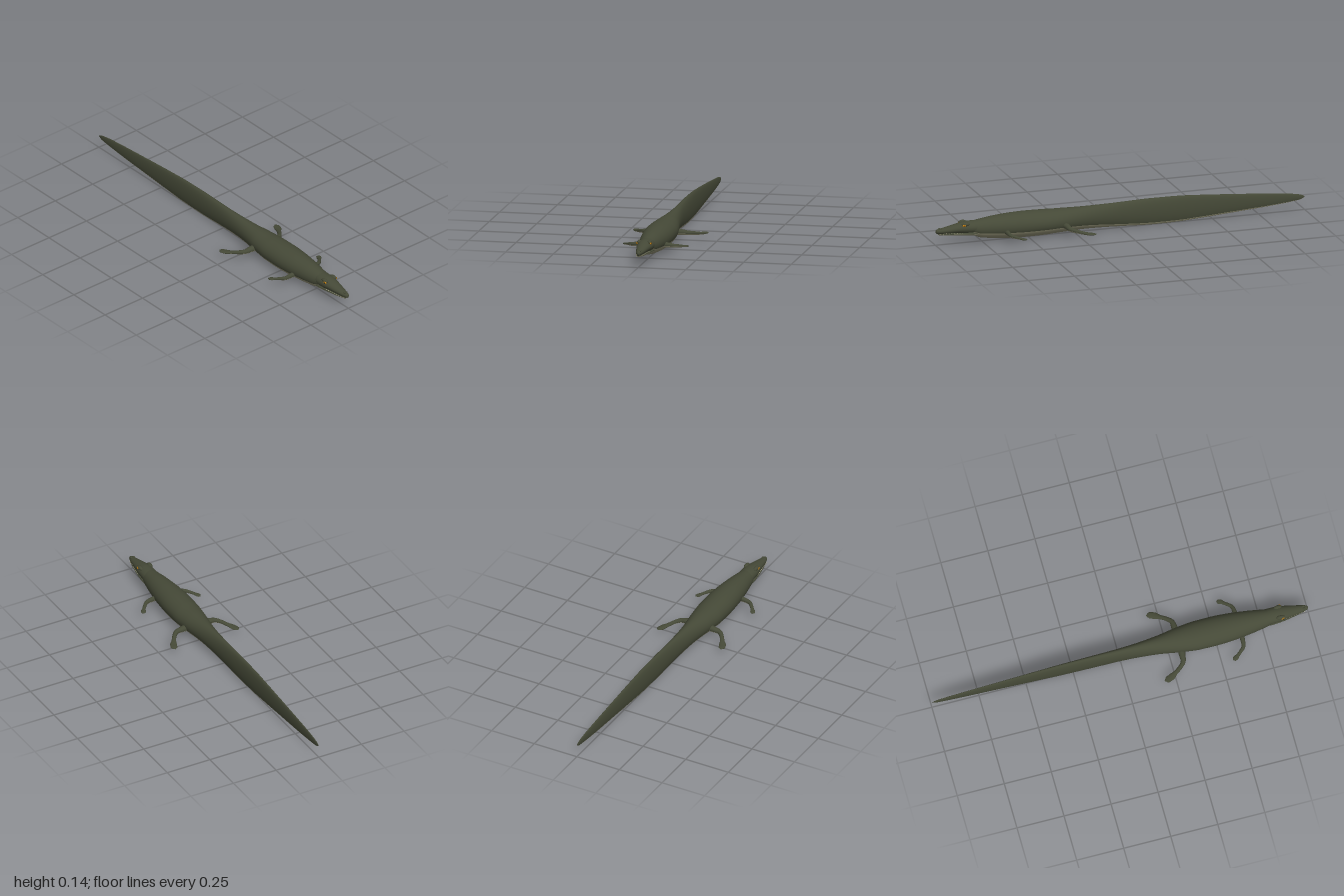
import * as THREE from 'three';

const mat = (name, color) => {
  const m = new THREE.MeshStandardMaterial({ color });
  m.name = name;
  return m;
};

// Skin over ellipse sections along a path. Row: [x, y, z, half width, half height, belly half-angle]
function loft(name, rows, steps, skins, nBelly = 8, nBack = 16) {
  const path = new THREE.CatmullRomCurve3(rows.map(r => new THREE.Vector3(r[0], r[1], r[2])));
  const size = new THREE.CatmullRomCurve3(rows.map(r => new THREE.Vector3(r[3], r[4], r[5])));
  const up = new THREE.Vector3(0, 1, 0), n = nBelly + nBack;
  const pos = [], belly = [], back = [];
  for (let i = 0; i <= steps; i++) {
    const p = path.getPoint(i / steps), s = size.getPoint(i / steps);
    const side = path.getTangent(i / steps).cross(up).normalize();
    for (let j = 0; j < n; j++) {
      const th = j < nBelly
        ? -s.z + 2 * s.z * j / nBelly
        : s.z + (2 * Math.PI - 2 * s.z) * (j - nBelly) / nBack;
      const w = Math.sin(th) * Math.max(s.x, 0.0004);
      pos.push(p.x + side.x * w, p.y - Math.cos(th) * Math.max(s.y, 0.0004), p.z + side.z * w);
      if (i === steps) continue;
      const a = i * n + j, b = i * n + (j + 1) % n;
      (j < nBelly ? belly : back).push(a, a + n, b, b, a + n, b + n);
    }
  }
  const geo = new THREE.BufferGeometry();
  geo.setAttribute('position', new THREE.Float32BufferAttribute(pos, 3));
  geo.setIndex([...back, ...belly]);
  geo.addGroup(0, back.length, 0);
  geo.addGroup(back.length, belly.length, 1);
  geo.computeVertexNormals();
  const mesh = new THREE.Mesh(geo, skins);
  mesh.name = name;
  return mesh;
}

export function createModel() {
  const group = new THREE.Group();
  group.name = 'swimmingReptile';
  const hide = mat('dark olive hide', 0x454937);
  const bellySkin = mat('pale belly', 0x8c8a70);
  const amber = mat('amber eye', 0xc07f14);
  const black = mat('black pupil', 0x14140f);
  const ivory = mat('ivory tooth', 0xb5af92);
  const skins = [hide, bellySkin];

  const add = (name, geo, m, x, y, z, sx = 1, sy = 1, sz = 1) => {
    const mesh = new THREE.Mesh(geo, m);
    mesh.name = name;
    mesh.position.set(x, y, z);
    mesh.scale.set(sx, sy, sz);
    group.add(mesh);
    return mesh;
  };

  // Section from z, half width, bottom, top, belly half-angle
  const section = ([z, w, lo, hi, a]) => [0, (lo + hi) / 2, z, w, (hi - lo) / 2, a];

  // Trunk and deep, thin tail in one skin
  const trunk = [
    [0.83, 0.030, 0.056, 0.108, 1.2], [0.80, 0.040, 0.044, 0.117, 1.2],
    [0.77, 0.046, 0.029, 0.122, 1.2], [0.70, 0.058, 0.018, 0.132, 1.2],
    [0.60, 0.071, 0.010, 0.140, 1.2], [0.50, 0.077, 0.008, 0.142, 1.2],
    [0.40, 0.076, 0.010, 0.140, 1.2], [0.30, 0.064, 0.015, 0.138, 1.15],
    [0.20, 0.046, 0.018, 0.137, 1.0], [0.10, 0.034, 0.016, 0.139, 0.85],
    [0.00, 0.026, 0.012, 0.142, 0.7], [-0.20, 0.019, 0.005, 0.146, 0.6],
    [-0.40, 0.014, 0.012, 0.140, 0.55], [-0.60, 0.010, 0.026, 0.126, 0.55],
    [-0.80, 0.007, 0.041, 0.110, 0.55], [-0.92, 0.005, 0.053, 0.098, 0.55],
    [-0.98, 0.003, 0.062, 0.087, 0.55], [-1.00, 0, 0.073, 0.077, 0.55],
  ].map(section);
  group.add(loft('bodyAndTail', trunk, 102, skins));

  // Upper skull and lower jaw
  const skull = [
    [1.000, 0, 0.074, 0.078, 0.5], [0.994, 0.010, 0.066, 0.087, 0.5],
    [0.97, 0.018, 0.063, 0.092, 0.5], [0.93, 0.026, 0.062, 0.100, 0.5],
    [0.88, 0.035, 0.060, 0.111, 0.5], [0.84, 0.041, 0.054, 0.118, 0.5],
    [0.79, 0.042, 0.050, 0.119, 0.5], [0.74, 0.030, 0.060, 0.110, 0.5],
  ].map(section);
  group.add(loft('skull', skull, 42, [hide, hide]));
  const jaw = [
    [0.988, 0, 0.062, 0.066, 1.6], [0.980, 0.012, 0.057, 0.069, 1.6],
    [0.93, 0.024, 0.052, 0.070, 1.6], [0.86, 0.036, 0.048, 0.070, 1.6],
    [0.80, 0.040, 0.042, 0.070, 1.6], [0.74, 0.030, 0.040, 0.070, 1.6],
  ].map(section);
  group.add(loft('lowerJaw', jaw, 30, skins));

  const ball = new THREE.SphereGeometry(1, 14, 10);
  const cone = new THREE.ConeGeometry(0.0022, 0.01, 6);
  for (const s of [1, -1]) {
    // Brow, eye, pupil and nostril
    add('brow', ball, hide, s * 0.028, 0.109, 0.845, 0.011, 0.010, 0.022);
    add('eye', ball, amber, s * 0.0345, 0.105, 0.855, 0.007, 0.006, 0.010);
    add('pupil', ball, black, s * 0.0400, 0.1055, 0.857, 0.002, 0.0035, 0.003);
    add('nostril', ball, hide, s * 0.007, 0.089, 0.976, 0.005, 0.004, 0.008);

    // Teeth along the mouth line
    for (let i = 0; i < 9; i++) {
      const z = 0.975 - i * 0.014;
      const tooth = add('tooth', cone, ivory, s * (0.015 + i * 0.0021), 0.062, z);
      tooth.rotation.x = Math.PI;
    }

    // Small front leg and larger paddled hind leg, both swept back
    group.add(loft('frontLeg', [
      [s * 0.045, 0.056, 0.632, 0.014, 0.016, 1.3], [s * 0.080, 0.054, 0.631, 0.012, 0.013, 1.3],
      [s * 0.112, 0.050, 0.626, 0.010, 0.010, 1.3], [s * 0.132, 0.047, 0.607, 0.009, 0.008, 1.3],
      [s * 0.148, 0.043, 0.588, 0.009, 0.006, 1.3], [s * 0.157, 0.041, 0.576, 0.013, 0.005, 1.3],
      [s * 0.163, 0.040, 0.564, 0.012, 0.004, 1.3], [s * 0.166, 0.040, 0.556, 0, 0, 1.3],
    ], 28, skins, 6, 8));
    group.add(loft('hindLeg', [
      [s * 0.035, 0.060, 0.315, 0.022, 0.020, 1.3], [s * 0.075, 0.058, 0.310, 0.017, 0.016, 1.3],
      [s * 0.112, 0.055, 0.306, 0.013, 0.012, 1.3], [s * 0.138, 0.050, 0.282, 0.011, 0.010, 1.3],
      [s * 0.158, 0.044, 0.252, 0.012, 0.008, 1.3], [s * 0.173, 0.041, 0.228, 0.018, 0.006, 1.3],
      [s * 0.182, 0.040, 0.204, 0.017, 0.005, 1.3], [s * 0.185, 0.040, 0.187, 0, 0, 1.3],
    ], 28, skins, 6, 8));
  }
  return group;
}
